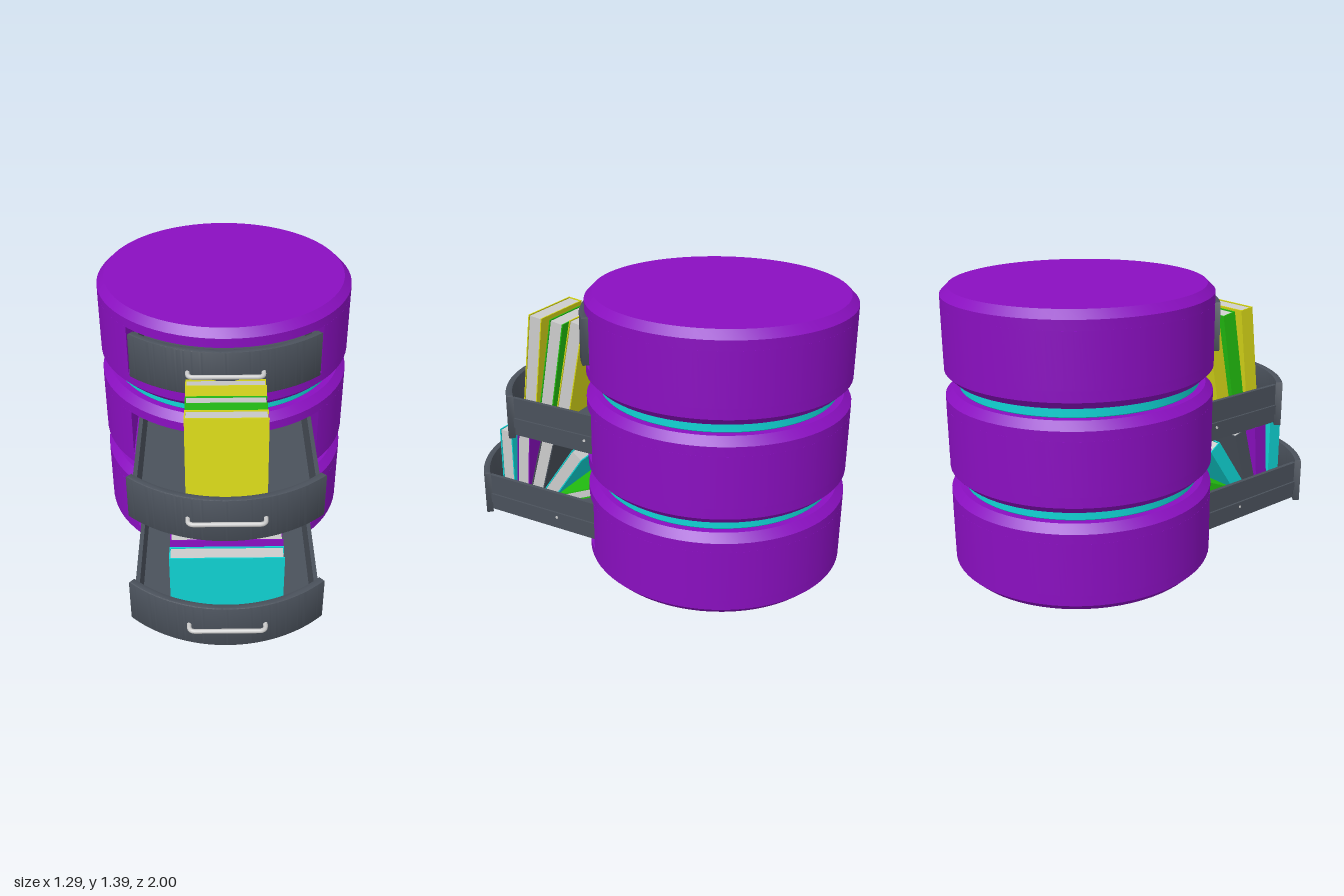
import * as THREE from 'three';
import { toCreasedNormals } from 'three/addons/utils/BufferGeometryUtils.js';

const mat = (color) => new THREE.MeshStandardMaterial({ color });
const purple = mat(0x8a0fc0), teal = mat(0x10d4d4), dark = mat(0x4a515b), grey = mat(0xcccccc);
const yellow = mat(0xd8d818), green = mat(0x22c010);

const R = 0.645, AXIS_Z = -0.355, DRUM_H = 0.43, FRONT = -Math.PI / 2;

function add(parent, name, geometry, material, x = 0, y = 0, z = 0) {
  const mesh = new THREE.Mesh(geometry, material);
  mesh.name = name;
  mesh.position.set(x, y, z);
  parent.add(mesh);
  return mesh;
}

// Plan outline (shape y = -z) raised upwards from y = 0
function raise(shape, height, bevel = 0) {
  const g = new THREE.ExtrudeGeometry(shape, {
    depth: height - 2 * bevel, curveSegments: 64, bevelEnabled: bevel > 0,
    bevelThickness: bevel, bevelSize: bevel, bevelOffset: -bevel, bevelSegments: 2,
  });
  g.translate(0, 0, bevel).rotateX(-Math.PI / 2);
  return toCreasedNormals(g, 0.5);
}

function lathe(points) {
  return toCreasedNormals(new THREE.LatheGeometry(points.map((p) => new THREE.Vector2(...p)), 72), 0.5);
}

// Drum with chamfered rims and a pocket for the drawer
function drum() {
  const g = new THREE.Group();
  g.name = 'drum';
  const lo = 0.088, hi = 0.346, c = 0.037, half = 0.47;
  add(g, 'drumBase', lathe([[0, 0], [R - c, 0], [R, c], [R, lo], [0, lo]]), purple);
  add(g, 'drumTop', lathe([[0, hi], [R, hi], [R, DRUM_H - c], [R - c, DRUM_H], [0, DRUM_H]]), purple);
  const a = Math.asin(half / R);
  const s = new THREE.Shape();
  s.absarc(0, 0, R, FRONT + a, FRONT - a + 2 * Math.PI, false);
  s.lineTo(-half, 0.395);
  s.lineTo(half, 0.395);
  s.closePath();
  add(g, 'drumWall', raise(s, hi - lo), purple, 0, lo);
  return g;
}

// Drawer with curved front, runners and bar handle
function drawer() {
  const g = new THREE.Group();
  g.name = 'drawer';
  const outer = 0.67, inner = 0.635, a = Math.asin(0.46 / outer);
  const front = new THREE.Shape();
  front.absarc(0, 0, outer, FRONT - a, FRONT + a, false);
  front.absarc(0, 0, inner, FRONT + a, FRONT - a, true);
  front.closePath();
  add(g, 'drawerFront', raise(front, 0.238, 0.007), dark, 0, 0.098);

  const w = 0.43, back = -0.345, b = Math.asin(w / 0.645);
  const floor = new THREE.Shape();
  floor.absarc(0, 0, 0.645, FRONT - b, FRONT + b, false);
  floor.lineTo(w, -back);
  floor.lineTo(-w, -back);
  floor.closePath();
  add(g, 'drawerFloor', raise(floor, 0.02), dark, 0, 0.115);

  const len = 0.475 - back, mid = (0.475 + back) / 2;
  for (const side of [-1, 1]) {
    add(g, 'drawerSide', new THREE.BoxGeometry(0.02, 0.203, len), dark, side * (w - 0.01), 0.2165, mid);
    add(g, 'runner', new THREE.BoxGeometry(0.012, 0.05, len), dark, side * (w + 0.004), 0.185, mid);
    const screw = add(g, 'runnerScrew', new THREE.CylinderGeometry(0.007, 0.007, 0.006, 12), grey,
      side * (w + 0.011), 0.185, 0.04);
    screw.rotation.z = Math.PI / 2;
  }
  add(g, 'drawerBack', new THREE.BoxGeometry(2 * w, 0.203, 0.02), dark, 0, 0.2165, back + 0.01);

  const x = 0.176, z0 = 0.63, z1 = 0.69, r = 0.03;
  const path = new THREE.CurvePath();
  const v = (px, pz) => new THREE.Vector3(px, 0, pz);
  path.add(new THREE.LineCurve3(v(-x, z0), v(-x, z1 - r)));
  path.add(new THREE.QuadraticBezierCurve3(v(-x, z1 - r), v(-x, z1), v(-x + r, z1)));
  path.add(new THREE.LineCurve3(v(-x + r, z1), v(x - r, z1)));
  path.add(new THREE.QuadraticBezierCurve3(v(x - r, z1), v(x, z1), v(x, z1 - r)));
  path.add(new THREE.LineCurve3(v(x, z1 - r), v(x, z0)));
  add(g, 'handle', new THREE.TubeGeometry(path, 80, 0.011, 10), grey, 0, 0.218);
  return g;
}

// Book hung from the middle of its top edge, leaning back; spine on -x
function book(cover, width, height, thick, y, z, lean) {
  const g = new THREE.Group();
  g.name = 'book';
  const t = 0.006;
  add(g, 'pages', new THREE.BoxGeometry(width - 2 * t, height - 2 * t, thick - 2 * t), grey, 0, -height / 2, 0);
  for (const s of [-1, 1]) {
    add(g, 'cover', new THREE.BoxGeometry(width, height, t), cover, 0, -height / 2, s * (thick - t) / 2);
  }
  add(g, 'spine', new THREE.BoxGeometry(t, height, thick), cover, -(width - t) / 2, -height / 2, 0);
  g.position.set(0, y, z);
  g.rotation.x = -lean;
  return g;
}

export function createModel() {
  const model = new THREE.Group();
  model.name = 'drumCabinet';

  // Three drums, each with a drawer pulled out by its own amount
  const levels = [[0, 0.65], [0.482, 0.465], [0.965, 0]];
  for (const [y, pull] of levels) {
    const d = drum();
    d.position.set(0, y, AXIS_Z);
    const dr = drawer();
    dr.position.set(0, y, AXIS_Z + pull);
    model.add(d, dr);
  }

  // Spacer rings between drums
  for (const y of [0.43, 0.912]) {
    const h = 0.053;
    add(model, 'spacerRing', lathe([[0, 0], [0.575, 0], [0.578, 0.004], [0.578, h - 0.004], [0.575, h], [0, h]]),
      teal, 0, y, AXIS_Z);
  }

  // Tall books in the middle drawer
  for (const [cover, y, z, lean] of [[yellow, 1.157, 0.598, 0.125], [green, 1.148, 0.468, 0.18], [yellow, 1.162, 0.347, 0.2]]) {
    model.add(book(cover, 0.372, 0.53, 0.082, y, z, lean));
  }

  // Wide books in the bottom drawer
  const row = [
    [teal, 0.08, 0.51, 0.775, 0], [purple, 0.08, 0.51, 0.655, 0.08], [dark, 0.08, 0.505, 0.502, 0.27],
    [teal, 0.075, 0.468, 0.318, 0.6], [green, 0.05, 0.31, 0.15, 1.15],
  ];
  for (const [cover, thick, y, z, lean] of row) {
    model.add(book(cover, 0.53, 0.365, thick, y, z, lean));
  }
  return model;
}
